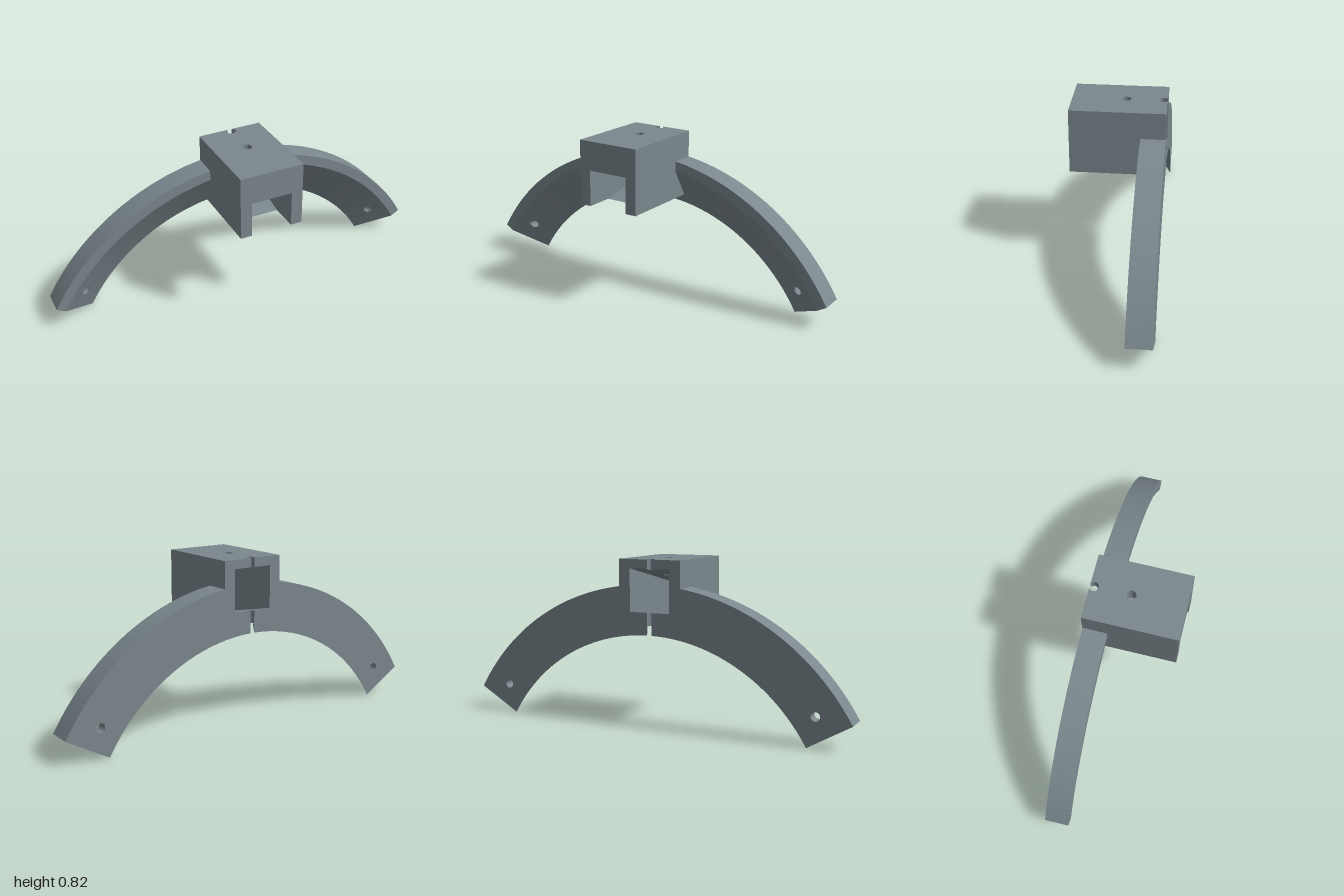
import * as THREE from 'three';
import { toCreasedNormals } from 'three/addons/utils/BufferGeometryUtils.js';

const CY = -0.455;                       // height of the arc centre
const RI = 0.912, RM = 1.104, RO = 1.155; // inner, bevel and outer radii
const ZB = -0.23, ZF = -0.11;            // back and front of the arc
const W = 0.163, C = 0.105;              // half widths of block and channel
const BOTTOM = 0.498, TOP = 0.821, HALF = 0.23;
const SLOPE = 0.217;                     // tilt of the channel
const FLOOR = 0.467, CEILING = 0.677;    // channel heights at the front
const PIN = 0.023, NOTCH_Z = -0.21, PIN_Z = -0.032;
const NOTCH = Math.sqrt(PIN ** 2 - (NOTCH_Z - ZB) ** 2); // half width of the notch opening
const rad = THREE.MathUtils.degToRad;
const bevelZ = r => ZB + (ZF - ZB) * (r - RI) / (RM - RI);
const channelFloor = z => FLOOR + SLOPE * (HALF - z);
const channelCeiling = z => CEILING + SLOPE * (HALF - z);
const material = new THREE.MeshStandardMaterial({ color: 0x7b888e });

function add(group, name, geometry) {
  const mesh = new THREE.Mesh(toCreasedNormals(geometry, rad(30)), material);
  mesh.name = name;
  group.add(mesh);
}

// Closed loft through rows of [x, y, z] points, with fan caps
function loft(rows) {
  const n = rows[0].length, last = (rows.length - 1) * n, index = [];
  for (let i = 0; i < rows.length - 1; i++) {
    for (let j = 0; j < n; j++) {
      const a = i * n + j, b = i * n + (j + 1) % n;
      index.push(b, a, a + n, b, a + n, b + n);
    }
  }
  for (let j = 1; j < n - 1; j++) {
    index.push(0, j, j + 1, last, last + j + 1, last + j);
  }
  const g = new THREE.BufferGeometry();
  g.setAttribute('position', new THREE.Float32BufferAttribute(rows.flat(2), 3));
  g.setIndex(index);
  return g;
}

// Sweep an [r, z] section between two angles in degrees
function sweep(section, from, to) {
  const steps = Math.max(1, Math.round((to - from) / 2)), rows = [];
  for (let i = 0; i <= steps; i++) {
    const a = rad(from + (to - from) * i / steps);
    rows.push(section.map(([r, z]) => [r * Math.cos(a), CY + r * Math.sin(a), z]));
  }
  return loft(rows);
}

// Bevelled piece of arc around a bolt hole
function boltSector(from, to) {
  const shape = new THREE.Shape();
  shape.absarc(0, CY, RM, rad(from), rad(to), false);
  shape.absarc(0, CY, RI, rad(to), rad(from), true);
  const mid = rad((from + to) / 2), hole = new THREE.Path();
  hole.absarc(1.026 * Math.cos(mid), CY + 1.026 * Math.sin(mid), 0.022, 0, Math.PI * 2, true);
  shape.holes.push(hole);
  const g = new THREE.ExtrudeGeometry(shape, { depth: 1, bevelEnabled: false, curveSegments: 12 });
  const p = g.attributes.position;
  for (let i = 0; i < p.count; i++) {
    const r = Math.hypot(p.getX(i), p.getY(i) - CY);
    p.setZ(i, p.getZ(i) > 0.5 ? bevelZ(r) : ZB);
  }
  return g;
}

// Plate with a pin hole and an open notch at the back; low(z) and high(z) set its faces
function pinPlate(front, low, high) {
  const shape = new THREE.Shape();
  const a = Math.acos(NOTCH / PIN);
  shape.moveTo(-C, -front);
  shape.lineTo(C, -front);
  shape.lineTo(C, HALF);
  shape.lineTo(NOTCH, HALF);
  shape.absarc(0, -NOTCH_Z, PIN, a, Math.PI - a, true);
  shape.lineTo(-C, HALF);
  const hole = new THREE.Path();
  hole.absarc(0, -PIN_Z, PIN, 0, Math.PI * 2, true);
  shape.holes.push(hole);
  const g = new THREE.ExtrudeGeometry(shape, { depth: 1, bevelEnabled: false, curveSegments: 16 });
  g.rotateX(-Math.PI / 2);
  const p = g.attributes.position;
  for (let i = 0; i < p.count; i++) {
    const z = p.getZ(i);
    p.setY(i, p.getY(i) > 0.5 ? high(z) : low(z));
  }
  return g;
}

// Thin strip of arc below the block, ending at the notch
function bridge(side) {
  const rows = [], steps = 8;
  for (let i = 0; i <= steps; i++) {
    const point = (isTop, isFront) => {
      const x = THREE.MathUtils.lerp(0.14, isFront ? PIN : NOTCH, i / steps);
      const r = isTop ? Math.hypot(BOTTOM + 0.001 - CY, x) : RI;
      return [side * x, CY + Math.sqrt(r * r - x * x), isFront ? bevelZ(r) : ZB];
    };
    rows.push([point(false, false), point(true, false), point(true, true)]);
  }
  return loft(side > 0 ? rows : rows.reverse());
}

export function createModel() {
  const model = new THREE.Group();
  model.name = 'archedBracket';

  // Arc arms, interrupted by a bolt hole sector
  const full = [[RI, ZB], [RO, ZB], [RO, ZF], [RM, ZF]];
  const rim = [[RM, ZB], [RO, ZB], [RO, ZF], [RM, ZF]];
  for (const side of [1, -1]) {
    const arm = new THREE.Group();
    arm.name = side > 0 ? 'leftArm' : 'rightArm';
    const span = (a, b) => side > 0 ? [a, b] : [180 - b, 180 - a];
    add(arm, 'armTip', sweep(full, ...span(30, 34)));
    add(arm, 'boltHoleRim', sweep(rim, ...span(34, 38)));
    add(arm, 'boltHole', boltSector(...span(34, 38)));
    add(arm, 'armCurve', sweep(full, ...span(38, 82.3)));
    add(arm, 'bridge', bridge(side));
    model.add(arm);
  }

  // Block with a tilted channel running through it
  const block = new THREE.Group();
  block.name = 'block';
  for (const side of [1, -1]) {
    const wall = new THREE.BoxGeometry(W - C, TOP - BOTTOM, HALF * 2);
    wall.translate(side * (W + C) / 2, (TOP + BOTTOM) / 2, 0);
    add(block, side > 0 ? 'leftWall' : 'rightWall', wall);
  }
  add(block, 'roof', pinPlate(HALF, channelCeiling, () => TOP));
  // The floor ends where the channel breaks through the underside
  add(block, 'floor', pinPlate(HALF - (BOTTOM - FLOOR) / SLOPE, () => BOTTOM, channelFloor));
  model.add(block);
  return model;
}
